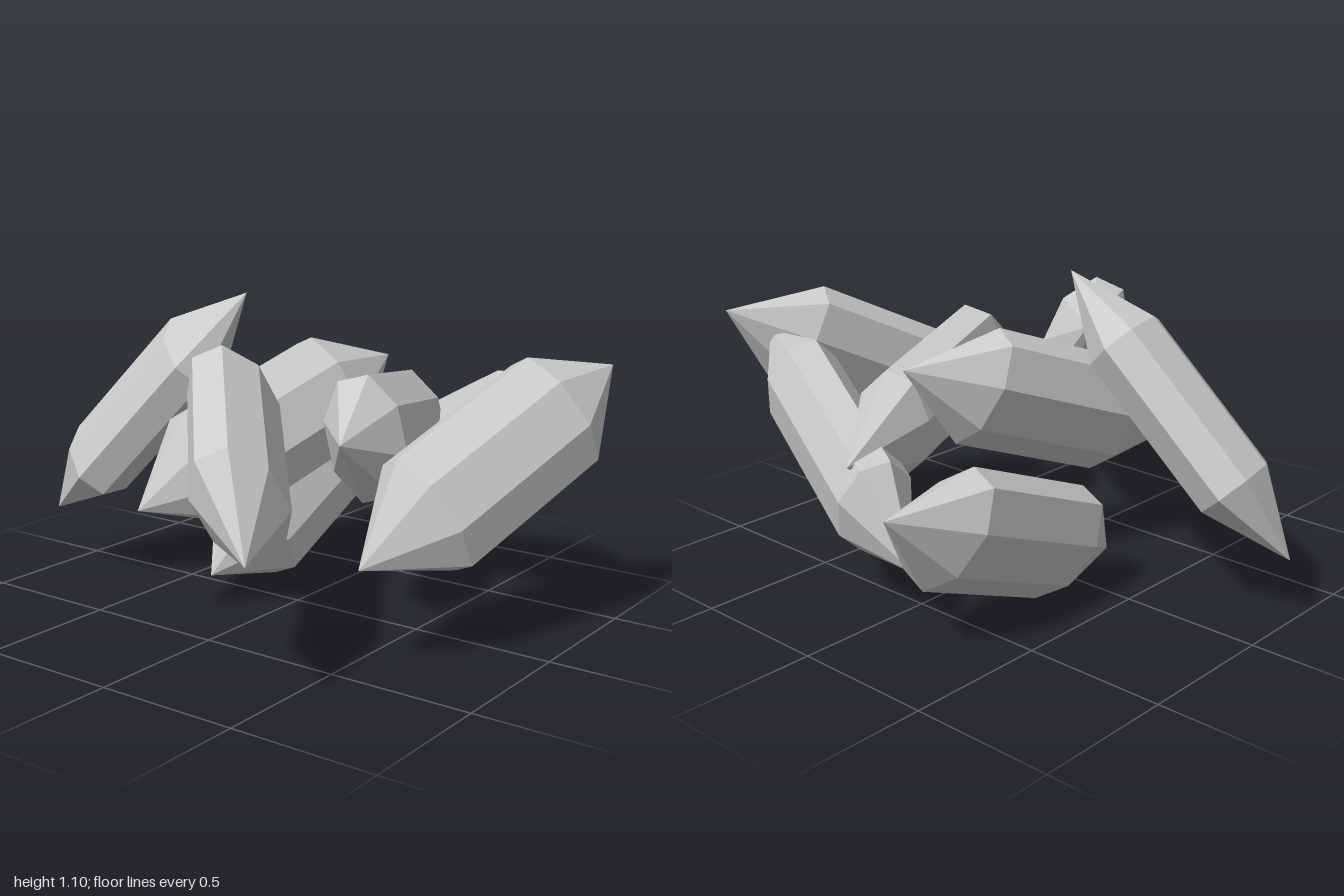
import * as THREE from 'three';

// Each crystal: name, start tip, end tip, roll in degrees about its axis
const CRYSTALS = [
  ['backCrystal', [-0.03, 1.09, -0.2], [-0.2, 0.22, -1.0], 64],
  ['backRightCrystal', [-0.15, 0.07, -0.28], [0.96, 0.53, -0.33], -25],
  ['sideCrystal', [-0.96, 0.465, 0.525], [-0.11, 0.88, -0.21], -25],
  ['centreCrystal', [-0.56, 0.41, -0.25], [0.53, 0.82, 0.03], -22],
  ['middleCrystal', [-0.4, 0.7, 0.455], [0.74, 0.53, 0.08], -15],
  ['frontCrystal', [-0.475, 0.34, 0.58], [0.555, 0.87, 0.92], -26],
  ['leaningCrystal', [0.68, 0.215, -0.16], [0.39, 0.77, 0.88], -11],
];

const HALF_HEIGHT = 0.222; // long half-axis of the cross-section
const HALF_WIDTH = 0.14; // short half-axis

// Eight-sided prism with a pointed cap on both ends, one unit long
function crystalGeometry() {
  const profile = [[0, -0.5], [1, -0.25], [1, 0.25], [0, 0.5]]
    .map(([r, y]) => new THREE.Vector2(r, y));
  return new THREE.LatheGeometry(profile, 8, Math.PI / 8);
}

export function createModel() {
  const group = new THREE.Group();
  group.name = 'crystalPile';
  const geometry = crystalGeometry();
  const material = new THREE.MeshStandardMaterial({ color: 0xcccccc, flatShading: true });

  for (const [name, from, to, roll] of CRYSTALS) {
    const a = new THREE.Vector3(...from);
    const b = new THREE.Vector3(...to);
    const axis = b.clone().sub(a);
    const length = axis.length();
    axis.normalize();

    // The tall side of the section points up, then rolls about the axis
    const tall = new THREE.Vector3(0, 1, 0).projectOnPlane(axis).normalize();
    tall.applyAxisAngle(axis, THREE.MathUtils.degToRad(roll));
    const wide = tall.clone().cross(axis);

    const mesh = new THREE.Mesh(geometry, material);
    mesh.name = name;
    mesh.quaternion.setFromRotationMatrix(new THREE.Matrix4().makeBasis(tall, axis, wide));
    mesh.scale.set(HALF_HEIGHT, length, HALF_WIDTH);
    mesh.position.copy(a).add(b).multiplyScalar(0.5);
    group.add(mesh);
  }
  return group;
}
